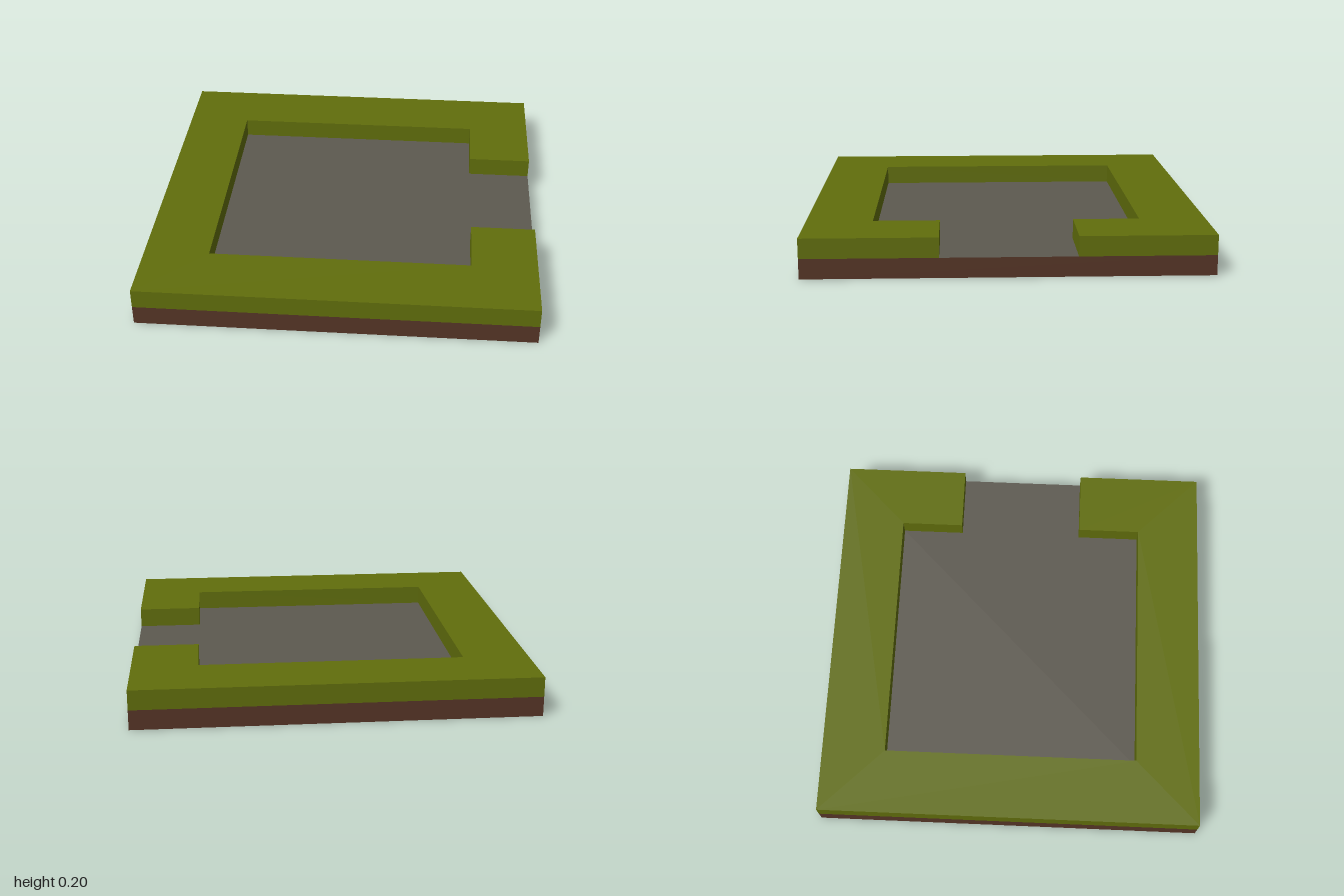
import * as THREE from 'three';

export function createModel() {
  const grass = new THREE.MeshStandardMaterial({ name: 'grass green', color: 0x616e0c });
  const earth = new THREE.MeshStandardMaterial({ name: 'earth brown', color: 0x563526 });
  const stone = new THREE.MeshStandardMaterial({ name: 'stone grey', color: 0x5d5950 });

  const model = new THREE.Group();
  model.name = 'groundTile';

  const layer = 0.1; // thickness of each layer
  const inner = 2 / 3; // half width of the sunken floor
  const gap = 1 / 3; // half width of the opening on the +x side

  // Earth slab, its top face is the stone floor
  const slab = new THREE.Mesh(
    new THREE.BoxGeometry(2, layer, 2),
    [earth, earth, stone, earth, earth, earth]
  );
  slab.name = 'earthSlabWithStoneFloor';
  slab.position.y = layer / 2;
  model.add(slab);

  // Raised grass border, open on the +x side
  const outline = [
    [1, gap], [1, 1], [-1, 1], [-1, -1], [1, -1], [1, -gap],
    [inner, -gap], [inner, -inner], [-inner, -inner],
    [-inner, inner], [inner, inner], [inner, gap],
  ].map(([x, y]) => new THREE.Vector2(x, y));
  const borderGeometry = new THREE.ExtrudeGeometry(new THREE.Shape(outline), {
    depth: layer,
    bevelEnabled: false,
  });
  borderGeometry.rotateX(-Math.PI / 2);
  const border = new THREE.Mesh(borderGeometry, grass);
  border.name = 'grassBorder';
  border.position.y = layer;
  model.add(border);

  return model;
}
